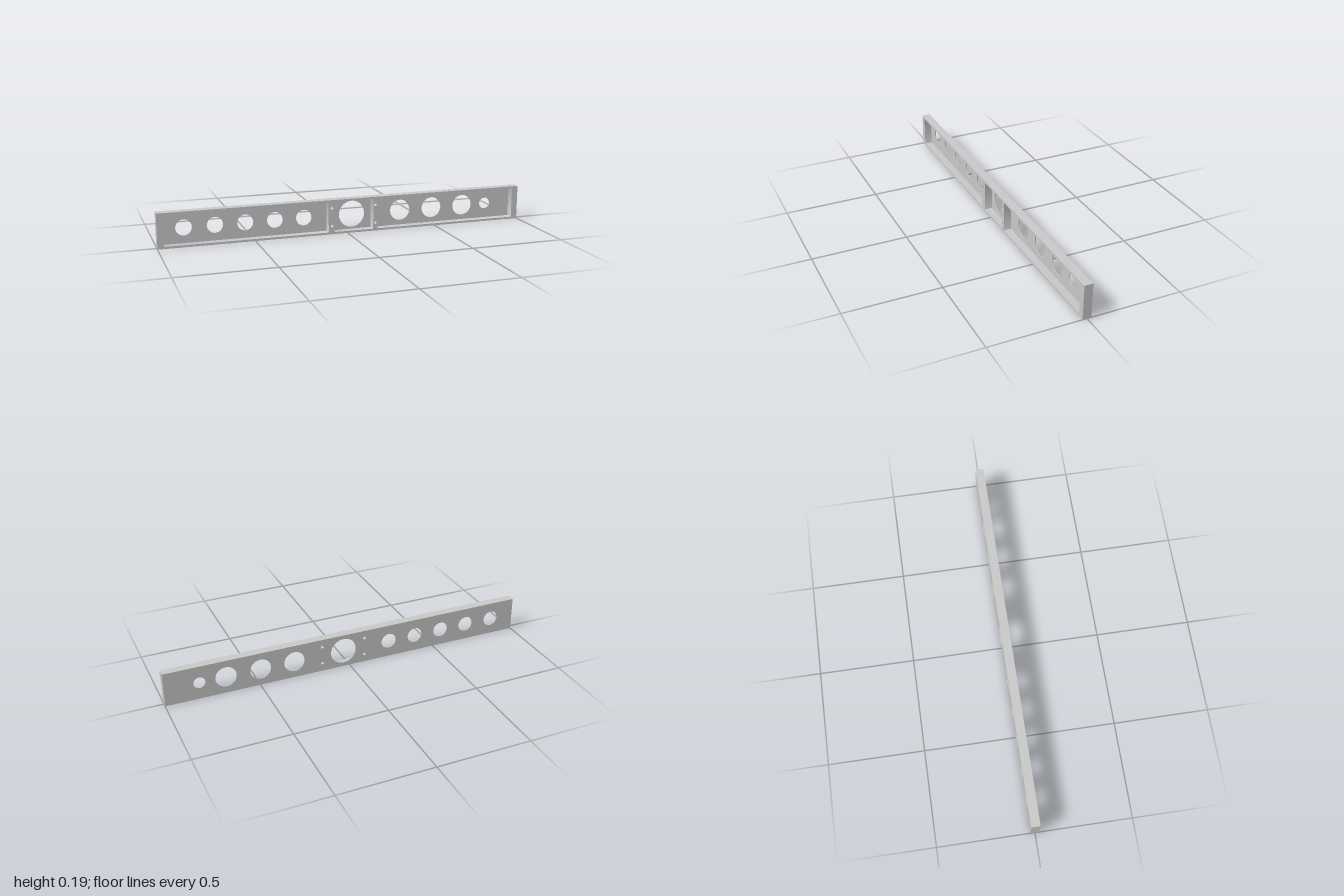
import * as THREE from 'three';
import { toCreasedNormals } from 'three/addons/utils/BufferGeometryUtils.js';

const HEIGHT = 0.185, HALF_DEPTH = 0.023, WEB = 0.005, MID = HEIGHT / 2;

// Rectangle with optionally rounded corners, for the outline and the pockets
function rectangle(path, x0, x1, y0, y1, r) {
  path.moveTo(x0 + r, y0);
  path.lineTo(x1 - r, y0);
  if (r) path.absarc(x1 - r, y0 + r, r, -Math.PI / 2, 0, false);
  path.lineTo(x1, y1 - r);
  if (r) path.absarc(x1 - r, y1 - r, r, 0, Math.PI / 2, false);
  path.lineTo(x0 + r, y1);
  if (r) path.absarc(x0 + r, y1 - r, r, Math.PI / 2, Math.PI, false);
  path.lineTo(x0, y0 + r);
  if (r) path.absarc(x0 + r, y0 + r, r, Math.PI, Math.PI * 1.5, false);
  return path;
}

function circle(x, y, r) {
  return new THREE.Path().absarc(x, y, r, 0, Math.PI * 2, true);
}

// Full-length plate between two depths, with openings cut through it
function plate(name, openings, z0, z1, material) {
  const shape = rectangle(new THREE.Shape(), -1, 1, 0, HEIGHT, 0);
  shape.holes.push(...openings);
  const extruded = new THREE.ExtrudeGeometry(shape, { depth: z1 - z0, bevelEnabled: false, curveSegments: 24 });
  extruded.translate(0, 0, z0);
  const mesh = new THREE.Mesh(toCreasedNormals(extruded, Math.PI / 6), material);
  mesh.name = name;
  return mesh;
}

export function createModel() {
  const group = new THREE.Group();
  group.name = 'perforatedBeam';
  const metal = new THREE.MeshStandardMaterial({ color: 0xc8c8c8 });
  metal.name = 'light grey metal';

  // Small screw holes through the two ribs
  const screwHoles = () => [-0.087, 0.155].flatMap((x) => [0.045, 0.142].map((y) => circle(x, y, 0.008)));

  // Round openings through the web: [x, radius]
  const lightening = [
    [-0.86, 0.042], [-0.7, 0.042], [-0.543, 0.042], [-0.386, 0.042], [-0.23, 0.042],
    [0.035, 0.071],
    [0.311, 0.056], [0.495, 0.056], [0.679, 0.056], [0.818, 0.031],
  ].map(([x, r]) => circle(x, MID, r));

  // Three pockets, leaving the flanges, end walls and ribs
  const pockets = [[-0.966, -0.106], [-0.073, 0.143], [0.167, 0.966]]
    .map(([x0, x1]) => rectangle(new THREE.Path(), x0, x1, 0.011, HEIGHT - 0.011, 0.003));

  const webFront = -HALF_DEPTH + WEB;
  group.add(plate('backWeb', [...lightening, ...screwHoles()], -HALF_DEPTH, webFront, metal));
  group.add(plate('flangesAndRibs', [...pockets, ...screwHoles()], webFront, HALF_DEPTH, metal));
  return group;
}
